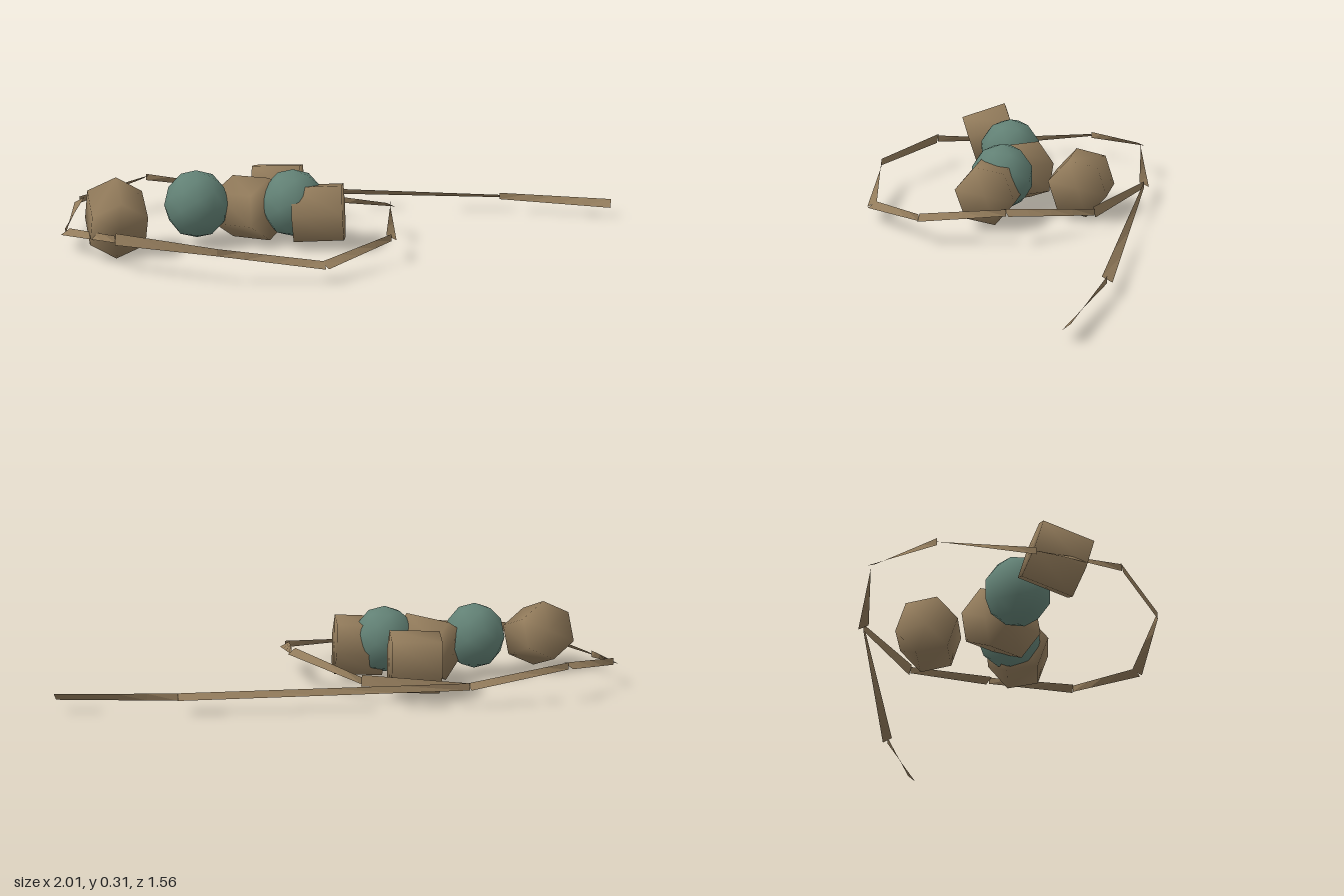
import * as THREE from 'three';
import { mergeVertices } from 'three/addons/utils/BufferGeometryUtils.js';

const V = (x, y, z) => new THREE.Vector3(x, y, z);

export function createModel() {
  const model = new THREE.Group();
  const brown = new THREE.MeshStandardMaterial({ color: 0x927b5b });
  brown.name = 'warm brown';
  const cord = new THREE.MeshStandardMaterial({ color: 0x927b5b, side: THREE.DoubleSide });
  cord.name = 'cord brown';
  const green = new THREE.MeshStandardMaterial({ color: 0x628175 });
  green.name = 'sea green';

  function add(name, geometry, material) {
    const mesh = new THREE.Mesh(geometry, material);
    mesh.name = name;
    model.add(mesh);
    return mesh;
  }

  // Flat cord piece: stands on edge at a and twists to lie flatter at b
  function cordPiece(name, a, b, flat = 0.02) {
    const end = V(b.z - a.z, 0, a.x - b.x).normalize().multiplyScalar(flat);
    end.y = -Math.sqrt(0.0225 ** 2 - flat ** 2);
    const start = V(0, -0.014, 0);
    const steps = 4;
    const edge = (t) => {
      const c = a.clone().lerp(b, t);
      const w = start.clone().lerp(end, t);
      return [c.clone().sub(w), c.clone().add(w)];
    };
    const points = [];
    for (let i = 0; i < steps; i++) {
      const [p, q] = edge(i / steps);
      const [r, s] = edge((i + 1) / steps);
      points.push(p, q, r, q, s, r);
    }
    const geometry = new THREE.BufferGeometry().setFromPoints(points);
    geometry.computeVertexNormals();
    add(name, geometry, cord);
  }

  // Wavy oval loop of ten pieces; two stay upright, one twists the other way
  const loop = [];
  for (let i = 0; i < 10; i++) {
    const t = (i * Math.PI) / 5;
    loop.push(V(-0.3 + 0.7 * Math.cos(t), 0.1 - 0.04 * Math.sin(3 * t), 0.247 + 0.553 * Math.sin(t)));
  }
  loop.forEach((p, i) => {
    const next = loop[(i + 1) % 10];
    if (i === 1) cordPiece('loopCord', next, p, -0.02);
    else cordPiece('loopCord', p, next, i === 2 || i === 7 ? 0.005 : 0.02);
  });

  // Loose tail of the cord
  const bend = V(0.53, 0.06, -0.675);
  cordPiece('tailCord', loop[7], bend);
  cordPiece('tailCord', bend, V(0.993, 0.054, -0.77), -0.017);

  // Six-sided barrel beads with soft shading: centre, axis, roll
  const barrels = [
    [V(-0.258, 0.13, -0.12), V(0.94, 0.03, -0.33), -0.2],
    [V(0.045, 0.135, 0.14), V(0.93, 0.05, -0.36), -0.17],
    [V(-0.235, 0.135, 0.18), V(0.95, 0.1, 0.28), 0.42],
    [V(-0.637, 0.142, 0.56), V(0.57, -0.3, 0.77), 0.45],
  ];
  for (const [center, axis, roll] of barrels) {
    const source = new THREE.CylinderGeometry(0.125, 0.125, 0.2, 6);
    source.deleteAttribute('normal');
    source.deleteAttribute('uv');
    const geometry = mergeVertices(source);
    geometry.computeVertexNormals();
    geometry.rotateY(roll);
    const bead = add('barrelBead', geometry, brown);
    const along = axis.normalize();
    const across = along.clone().cross(V(0, 1, 0)).normalize();
    const basis = new THREE.Matrix4().makeBasis(along.clone().cross(across), along, across);
    bead.quaternion.setFromRotationMatrix(basis);
    bead.position.copy(center);
  }

  // Round beads
  for (const center of [V(-0.408, 0.165, 0.32), V(-0.065, 0.165, 0.147)]) {
    const bead = add('roundBead', new THREE.IcosahedronGeometry(0.135, 1), green);
    bead.position.copy(center);
    bead.scale.set(0.95, 1.02, 0.97);
  }
  return model;
}
